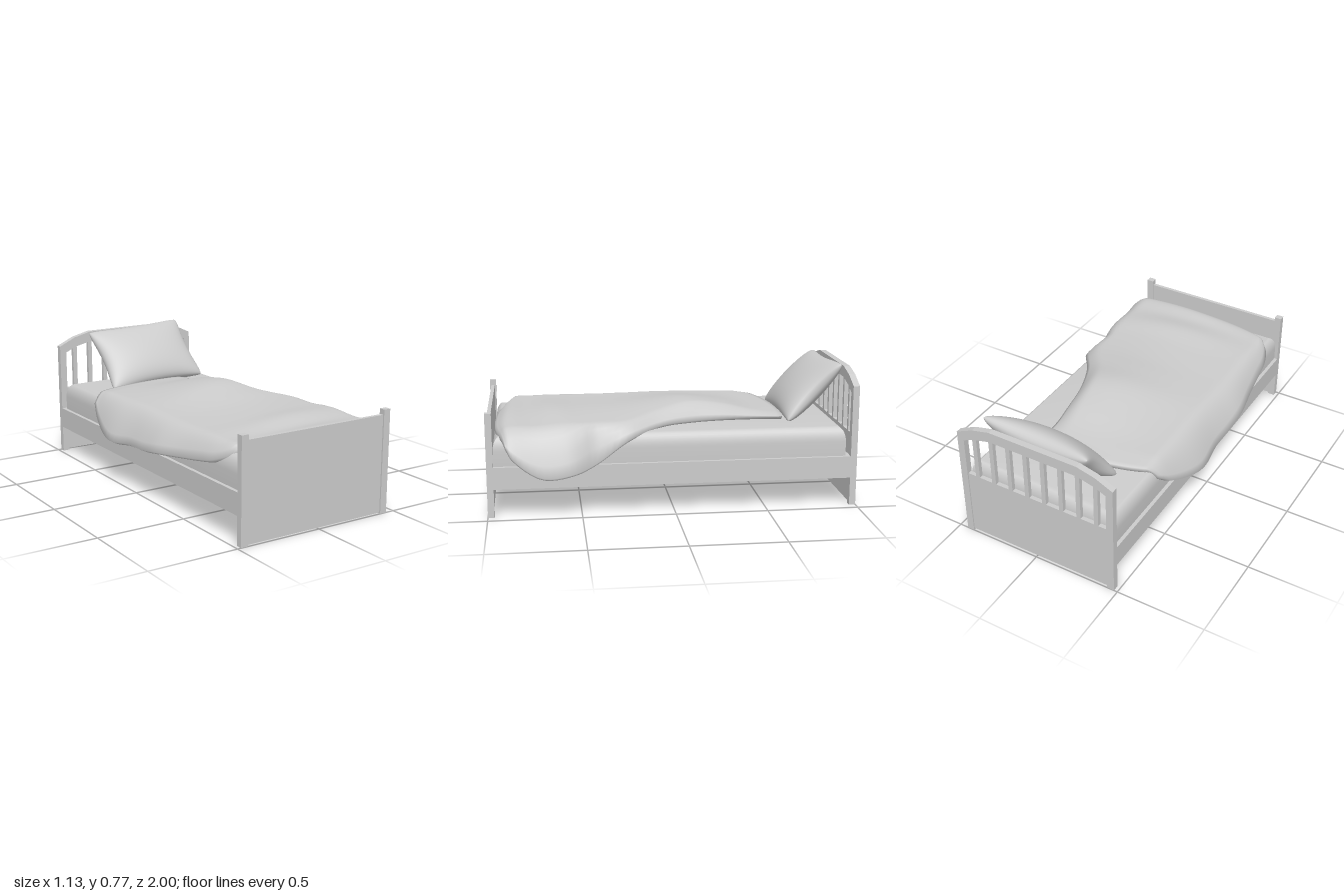
import * as THREE from 'three';
import { mergeVertices, toCreasedNormals } from 'three/addons/utils/BufferGeometryUtils.js';

const grey = new THREE.MeshStandardMaterial({ color: 0xcccccc });
const CX = -0.015; // middle of the bed frame
const HALF = 0.465; // half width of the bed frame
const V = (p) => new THREE.Vector3(...p);

function add(parent, name, geometry) {
  const mesh = new THREE.Mesh(geometry, grey);
  mesh.name = name;
  parent.add(mesh);
  return mesh;
}

// Box given by its minimum and maximum corners
function box(parent, name, min, max) {
  const s = max.map((m, i) => m - min[i]);
  const mesh = add(parent, name, new THREE.BoxGeometry(...s));
  mesh.position.set(...max.map((m, i) => (m + min[i]) / 2));
  return mesh;
}

// Closed soft slab between an upper and a lower surface; u runs along +x, v along +z
function slab(nu, nv, upper, lower) {
  const pos = [], index = [], row = nu + 1, layer = row * (nv + 1);
  for (const fn of [upper, lower])
    for (let j = 0; j <= nv; j++)
      for (let i = 0; i <= nu; i++) pos.push(...fn(i / nu, j / nv));
  const quad = (a, b, c, d) => index.push(a, b, c, a, c, d);
  for (let j = 0; j < nv; j++)
    for (let i = 0; i < nu; i++) {
      const a = j * row + i, b = a + row, c = b + 1, d = a + 1;
      quad(a, b, c, d);
      quad(a + layer, d + layer, c + layer, b + layer);
    }
  const rim = (a, b) => quad(a, a + layer, b + layer, b);
  for (let i = 0; i < nu; i++) {
    rim(nv * row + i, nv * row + i + 1);
    rim(i + 1, i);
  }
  for (let j = 0; j < nv; j++) {
    rim(j * row, (j + 1) * row);
    rim((j + 1) * row + nu, j * row + nu);
  }
  let geo = new THREE.BufferGeometry();
  geo.setAttribute('position', new THREE.Float32BufferAttribute(pos, 3));
  geo.setIndex(index);
  geo = mergeVertices(geo, 1e-4);
  geo.computeVertexNormals();
  return geo;
}

// Arched outline of the headboard, relative to the middle
const arch = [[-HALF, 0.665], [-0.365, 0.712], [-0.26, 0.738], [0.26, 0.738], [0.365, 0.712], [HALF, 0.665]];
function archY(x) {
  for (let i = 1; i < arch.length; i++) {
    const [x0, y0] = arch[i - 1], [x1, y1] = arch[i];
    if (x <= x1) return y0 + ((y1 - y0) * (x - x0)) / (x1 - x0);
  }
  return arch[arch.length - 1][1];
}

function headboard() {
  const g = new THREE.Group();
  g.name = 'headboard';
  // Posts and arched rail in one piece
  const inner = HALF - 0.04, drop = 0.06;
  const under = [-inner, -0.365, -0.26, 0.26, 0.365, inner].map((x) => [x, archY(x) - drop]);
  const outline = [[-HALF, 0], [-inner, 0], ...under, [inner, 0], [HALF, 0], ...arch.slice().reverse()];
  const shape = new THREE.Shape(outline.map((p) => new THREE.Vector2(...p)));
  const frame = add(g, 'headboardFrame', new THREE.ExtrudeGeometry(shape, { depth: 0.035, bevelEnabled: false }));
  frame.position.z = -1;
  box(g, 'headboardPanel', [-inner, 0.01, -0.993], [inner, 0.4, -0.97]);
  // Slats
  for (let i = 0; i < 8; i++) {
    const x = -0.3625 + i * 0.10357;
    box(g, 'headboardSlat', [x - 0.0125, 0.4, -0.993], [x + 0.0125, archY(x) - drop + 0.015, -0.97]);
  }
  return g;
}

function footboard() {
  const g = new THREE.Group();
  g.name = 'footboard';
  for (const s of [-1, 1]) {
    const a = s * HALF, b = s * (HALF - 0.04);
    box(g, 'footPost', [Math.min(a, b), 0, 0.965], [Math.max(a, b), 0.567, 1]);
  }
  box(g, 'footPanel', [-HALF + 0.04, 0.005, 0.972], [HALF - 0.04, 0.538, 0.992]);
  return g;
}

// Mattress with rounded upper edges; its lower bevel sits inside the base
function mattressGeometry() {
  const b = 0.045, w = 0.445 - b, z0 = -0.94 + b, z1 = 0.965 - b;
  const shape = new THREE.Shape([[-w, -z1], [w, -z1], [w, -z0], [-w, -z0]].map((p) => new THREE.Vector2(...p)));
  const geo = new THREE.ExtrudeGeometry(shape, {
    depth: 0.09, bevelThickness: 0.08, bevelSize: b, bevelSegments: 8,
  });
  geo.rotateX(-Math.PI / 2).translate(0, 0.265, 0);
  return toCreasedNormals(geo, 0.6);
}

// Blanket: left hem, right hem and crest (x unused) guide the surface from head to foot
function blanketGeometry() {
  const left = new THREE.CatmullRomCurve3([
    [-0.48, 0.4, -0.52], [-0.515, 0.33, -0.42], [-0.565, 0.27, -0.2], [-0.55, 0.29, 0], [-0.555, 0.3, 0.16],
    [-0.555, 0.32, 0.3], [-0.525, 0.34, 0.48], [-0.505, 0.36, 0.63], [-0.49, 0.38, 0.74],
    [-0.46, 0.41, 0.82], [-0.42, 0.43, 0.86]].map(V));
  const right = new THREE.CatmullRomCurve3([
    [0.22, 0.45, -0.63], [0.21, 0.45, -0.48], [0.235, 0.455, -0.3], [0.27, 0.455, -0.12], [0.34, 0.45, 0.06],
    [0.465, 0.405, 0.25], [0.485, 0.29, 0.42], [0.55, 0.25, 0.55], [0.56, 0.24, 0.71],
    [0.54, 0.34, 0.86], [0.51, 0.39, 0.895]].map(V));
  const crest = new THREE.CatmullRomCurve3([
    [0, 0.46, -0.63], [0, 0.478, -0.48], [0, 0.525, -0.27], [0, 0.55, -0.05], [0, 0.525, 0.13],
    [0, 0.505, 0.28], [0, 0.5, 0.5], [0, 0.51, 0.65], [0, 0.49, 0.78], [0, 0.495, 0.89], [0, 0.445, 0.955]].map(V));

  const point = (u, v) => {
    const L = left.getPoint(v), R = right.getPoint(v), M = crest.getPoint(v);
    const x = L.x + (R.x - L.x) * u;
    const k = Math.abs(2 * u - 1);
    const z = L.z + (R.z - L.z) * u + (M.z - (L.z + R.z) / 2) * (1 - k ** 2.5);
    // Gentle crown, slightly to the right
    const crown = Math.exp(-(((x - 0.1) / 0.35) ** 2));
    const top = Math.min(M.y, 0.475) + Math.max(0, M.y - 0.475) * crown;
    // Drape over each side
    const fl = Math.max(0, (-0.4 - x) / (-0.4 - L.x + 1e-6));
    const start = Math.min(0.4, R.x - 0.1);
    const fr = Math.max(0, (x - start) / (R.x - start));
    const y = top + (L.y - top) * fl ** 2 + (R.y - top) * fr ** 2;
    return { x, y, z, fl, fr };
  };
  const upper = (u, v) => {
    const p = point(u, v);
    return [p.x, p.y, p.z];
  };
  const lower = (u, v) => {
    const p = point(u, v);
    return [p.x + 0.028 * (p.fl - p.fr), p.y - 0.028 + 0.012 * Math.max(p.fl, p.fr), p.z];
  };
  return slab(48, 48, upper, lower);
}

// Pillow: pinched rectangle, puffed on both faces
function pillowGeometry() {
  const face = (sign) => (u, v) => {
    const s = Math.sin((u - 0.5) * Math.PI), t = Math.sin((v - 0.5) * Math.PI);
    const puff = ((1 - s * s) * (1 - t * t)) ** 0.42;
    const round = 1 - 0.05 * (s * t) ** 6;
    return [
      0.325 * s * round * (1 - 0.1 * (1 - t * t)),
      sign * 0.088 * puff,
      0.222 * t * round * (1 - 0.1 * (1 - s * s)),
    ];
  };
  return slab(36, 28, face(1), face(-1));
}

export function createModel() {
  const bed = new THREE.Group();
  bed.name = 'bed';

  const frame = new THREE.Group();
  frame.name = 'bedFrame';
  frame.position.x = CX;
  frame.add(headboard(), footboard());
  box(frame, 'base', [-HALF, 0.155, -0.967], [HALF, 0.275, 0.967]);
  add(frame, 'mattress', mattressGeometry());
  bed.add(frame);

  add(bed, 'blanket', blanketGeometry());

  // Pillow leans back against the headboard
  const pillow = add(bed, 'pillow', pillowGeometry());
  pillow.position.set(0.02, 0.595, -0.785);
  pillow.rotation.set(THREE.MathUtils.degToRad(46), 0.03, 0.03);
  return bed;
}
